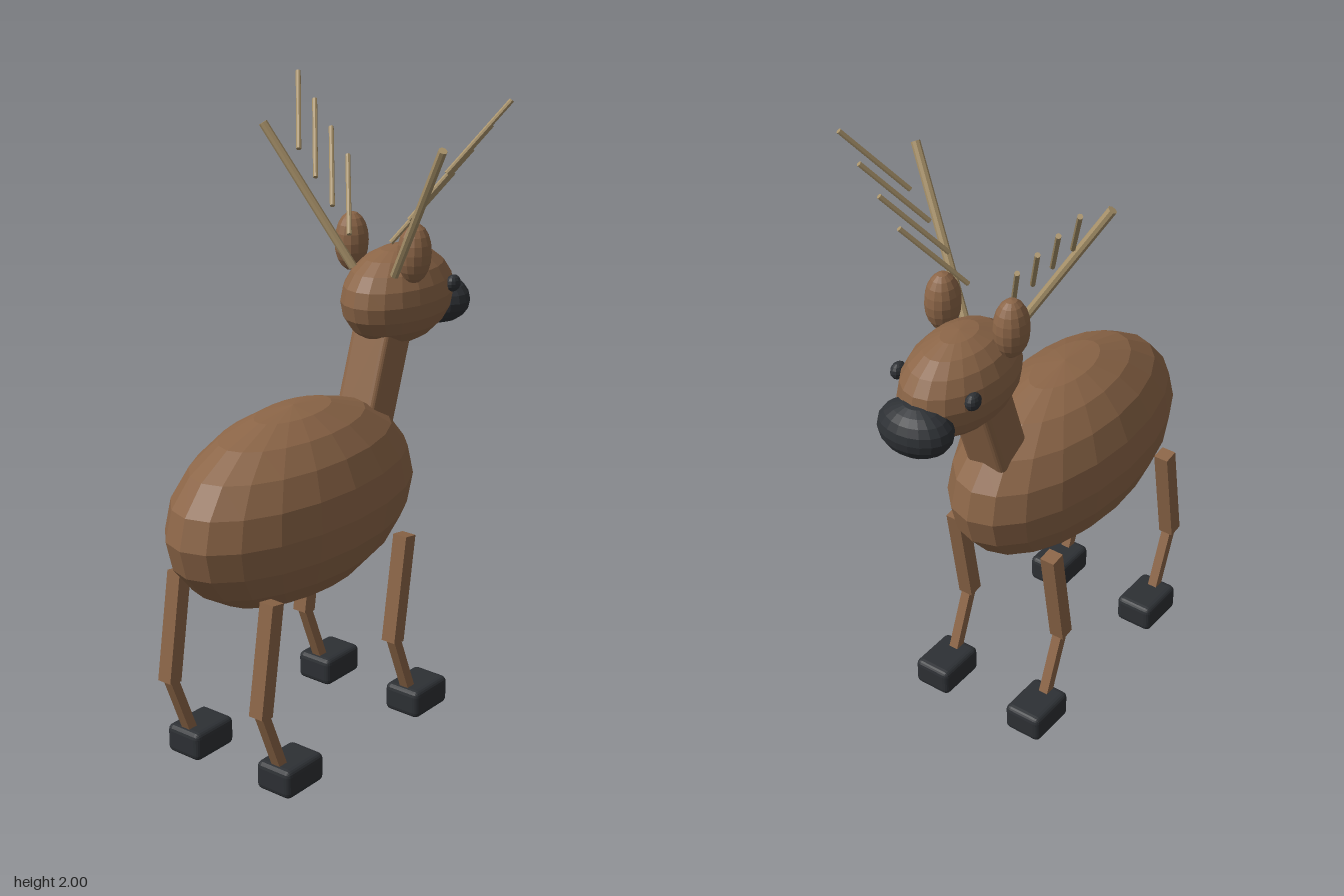
import * as THREE from 'three';
import { RoundedBoxGeometry } from 'three/addons/geometries/RoundedBoxGeometry.js';

const paint = (color) => {
  const m = new THREE.MeshStandardMaterial({ flatShading: true });
  m.color.set(color);
  return m;
};

export function createModel() {
  const model = new THREE.Group();
  model.name = 'deer';
  const fur = paint(0x8b6547);
  const dark = paint(0x2d3034);
  const horn = paint(0xa8926a);

  const add = (parent, name, geometry, material, pos) => {
    const mesh = new THREE.Mesh(geometry, material);
    mesh.name = name;
    mesh.position.set(...pos);
    parent.add(mesh);
    return mesh;
  };

  // Faceted ellipsoid with the given radii
  const blob = (parent, name, material, pos, radii, w = 20, h = 10) =>
    add(parent, name, new THREE.SphereGeometry(1, w, h).scale(...radii), material, pos);

  // Straight part running from a to b; make(length) returns a geometry along y
  const span = (parent, name, material, a, b, make) => {
    const p = new THREE.Vector3(...a);
    const q = new THREE.Vector3(...b);
    const mid = p.clone().add(q).multiplyScalar(0.5);
    const mesh = add(parent, name, make(p.distanceTo(q)), material, mid.toArray());
    mesh.quaternion.setFromUnitVectors(new THREE.Vector3(0, 1, 0), q.sub(p).normalize());
    return mesh;
  };
  const bar = (w) => (len) => new THREE.BoxGeometry(w, len, w);
  const rod = (r) => (len) => new THREE.CylinderGeometry(r, r, len, 8);

  // Body, neck and head (the head points to -z)
  blob(model, 'body', fur, [0, 0.807, 0.152], [0.252, 0.305, 0.508]);
  span(model, 'neck', fur, [0, 0.91, -0.177], [0, 1.29, -0.303],
    (len) => new RoundedBoxGeometry(0.144, len, 0.136, 2, 0.02));
  blob(model, 'head', fur, [0, 1.342, -0.366], [0.146, 0.158, 0.226]);
  blob(model, 'muzzle', dark, [0, 1.285, -0.573], [0.12, 0.083, 0.09]);

  for (const s of [1, -1]) {
    const side = s > 0 ? 'left' : 'right';

    // Eyes and ears
    blob(model, `${side}Eye`, dark, [s * 0.132, 1.373, -0.48], [0.021, 0.027, 0.029], 12, 8);
    blob(model, `${side}Ear`, fur, [s * 0.121, 1.508, -0.285], [0.052, 0.094, 0.058], 14, 10);

    // Antler: one beam with four forward tines
    const antler = new THREE.Group();
    antler.name = `${side}Antler`;
    model.add(antler);
    span(antler, 'beam', horn, [s * 0.08, 1.44, -0.24], [s * 0.337, 1.878, -0.118], rod(0.014));
    for (let i = 0; i < 4; i++) {
      const x = 0.08 + i * 0.0665;
      const y = 1.547 + i * 0.08;
      span(antler, 'tine', horn, [s * x, y, -0.22], [s * (x + 0.122), y + 0.208, -0.367], rod(0.008));
    }

    // Legs: upper and lower bars ending in a rounded hoof
    for (const [end, z] of [['back', 0.394], ['front', -0.25]]) {
      const leg = new THREE.Group();
      leg.name = `${side}${end === 'back' ? 'Back' : 'Front'}Leg`;
      leg.position.set(s * 0.182, 0, z);
      model.add(leg);
      span(leg, 'upperLeg', fur, [0, 0.285, 0.133], [0, 0.633, 0.078], bar(0.05));
      span(leg, 'lowerLeg', fur, [0, 0.07, 0.042], [0, 0.288, 0.128], bar(0.032));
      add(leg, 'hoof', new RoundedBoxGeometry(0.132, 0.095, 0.172, 2, 0.02), dark, [0, 0.0475, 0]);
    }
  }
  return model;
}
